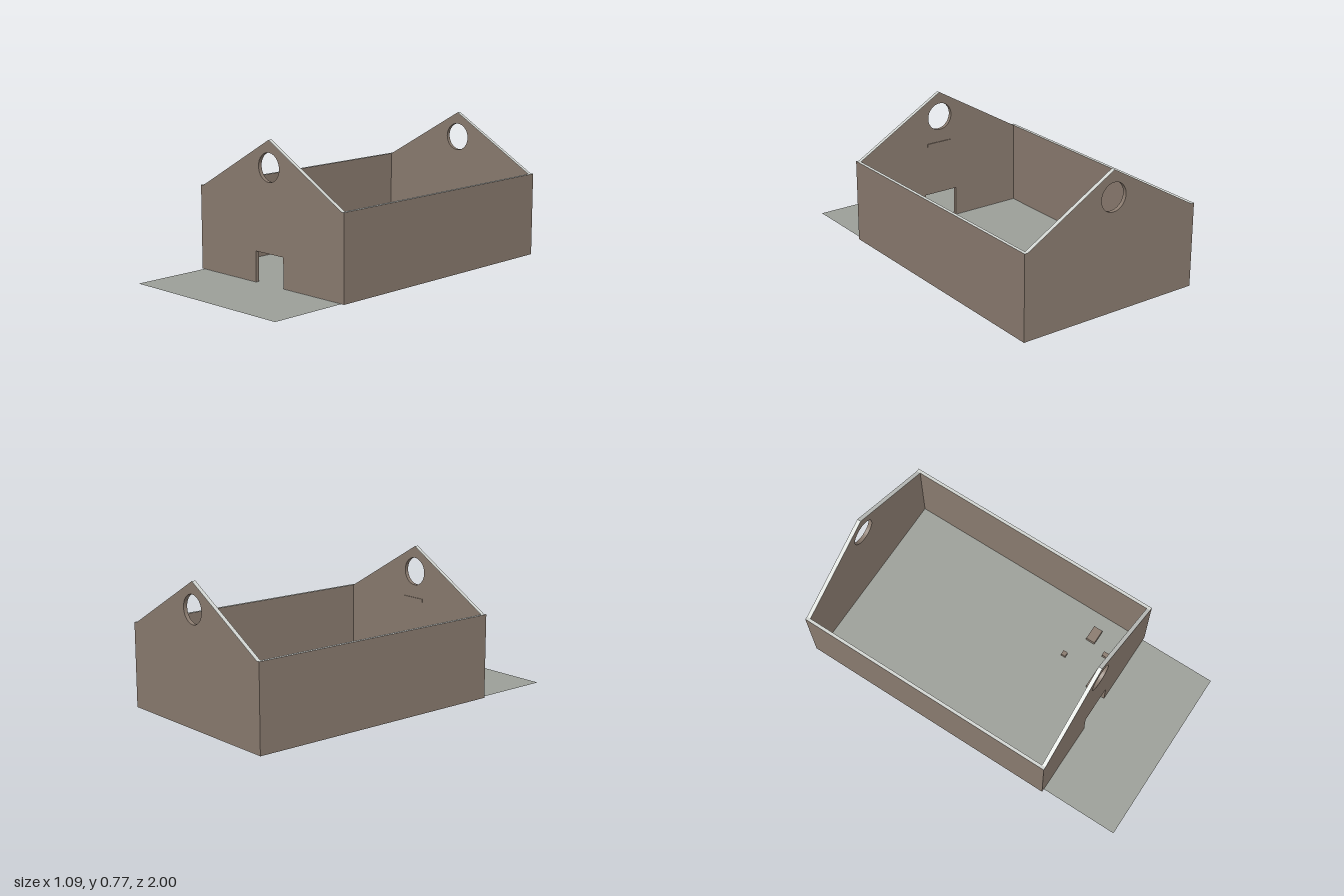
import * as THREE from 'three';

const W = 0.545, IN = 0.527, EAVE = 0.47, PEAK = 0.775; // outer/inner half width, heights
const BACK = -1, FRONT = 0.545, T = 0.022, SKIN = 0.0015; // wall extent, thickness, cut-edge thickness

const brown = new THREE.MeshStandardMaterial({ color: 0x8a7b6f });
brown.name = 'wall brown';
const pale = new THREE.MeshStandardMaterial({ color: 0xd2d5d1 });
pale.name = 'pale cut edge';
const grey = new THREE.MeshStandardMaterial({ color: 0x9c9f99, side: THREE.DoubleSide });
grey.name = 'floor grey';

function add(parent, name, geometry, material, x = 0, y = 0, z = 0) {
  const mesh = new THREE.Mesh(geometry, material);
  mesh.name = name;
  mesh.position.set(x, y, z);
  parent.add(mesh);
  return mesh;
}

function polygon(points) {
  return new THREE.Shape(points.map(([x, y]) => new THREE.Vector2(x, y)));
}

function extrude(shape) {
  return new THREE.ExtrudeGeometry(shape, { depth: T, bevelEnabled: false, curveSegments: 32 });
}

// Gable wall with a round window, an optional doorway and pale cut edges
function gable(name, z, door) {
  const group = new THREE.Group();
  group.name = name;
  group.position.z = z;

  const doorway = door ? [[-0.107, SKIN], [-0.107, 0.17], [0.104, 0.17], [0.104, SKIN]] : [];
  const wall = polygon([
    [-IN, SKIN], ...doorway, [IN, SKIN],
    [IN, EAVE - SKIN], [0, PEAK - SKIN], [-IN, EAVE - SKIN],
  ]);
  const hole = new THREE.Path();
  hole.absarc(0, 0.63, 0.078, 0, Math.PI * 2, true);
  wall.holes.push(hole);
  add(group, 'gableWall', extrude(wall), brown);

  const coping = polygon([
    [-IN, EAVE - SKIN], [0, PEAK - SKIN], [IN, EAVE - SKIN],
    [IN, EAVE], [0, PEAK], [-IN, EAVE],
  ]);
  add(group, 'gableTopEdge', extrude(coping), pale);

  const sills = door ? [[-IN, -0.107], [0.104, IN]] : [[-IN, IN]];
  for (const [a, b] of sills) {
    add(group, 'gableBottomEdge', new THREE.BoxGeometry(b - a, SKIN, T), pale, (a + b) / 2, SKIN / 2, T / 2);
  }
  return group;
}

export function createModel() {
  const model = new THREE.Group();
  model.name = 'rooflessBarn';

  // Floor sheet running out into the forecourt
  const floor = new THREE.PlaneGeometry(2 * IN, 1.985).rotateX(-Math.PI / 2);
  add(model, 'floor', floor, grey, 0, SKIN / 2, 0.0075);

  // Long side walls with pale top and bottom
  const faces = [brown, brown, pale, pale, brown, brown];
  for (const side of [-1, 1]) {
    add(model, side > 0 ? 'leftWall' : 'rightWall',
      new THREE.BoxGeometry(W - IN, EAVE, FRONT - BACK), faces,
      side * (W + IN) / 2, EAVE / 2, (FRONT + BACK) / 2);
  }

  // End walls
  model.add(gable('backGable', BACK, false), gable('frontGable', FRONT - T, true));

  // Slim ledge inside the front wall, under the round window
  add(model, 'ledge', new THREE.BoxGeometry(0.155, 0.018, 0.006), brown, 0.01, 0.47, FRONT - T - 0.002);

  // Crates: x from, x to, z from, z to, y from, y to
  const crates = [
    [0.106, 0.19, 0.423, 0.482, 0, 0.026],
    [0.169, 0.228, 0.43, 0.487, 0.026, 0.083],
    [0.215, 0.27, 0.434, 0.495, 0, 0.026],
    [0.312, 0.338, 0.4, 0.455, 0, 0.025],
    [0.35, 0.437, 0.27, 0.325, 0, 0.026],
    [0.19, 0.217, 0.2, 0.228, 0, 0.023],
  ];
  for (const [x0, x1, z0, z1, y0, y1] of crates) {
    const base = Math.max(y0, SKIN / 2);
    add(model, 'crate', new THREE.BoxGeometry(x1 - x0, y1 - base, z1 - z0), brown,
      (x0 + x1) / 2, (base + y1) / 2, (z0 + z1) / 2);
  }
  return model;
}
